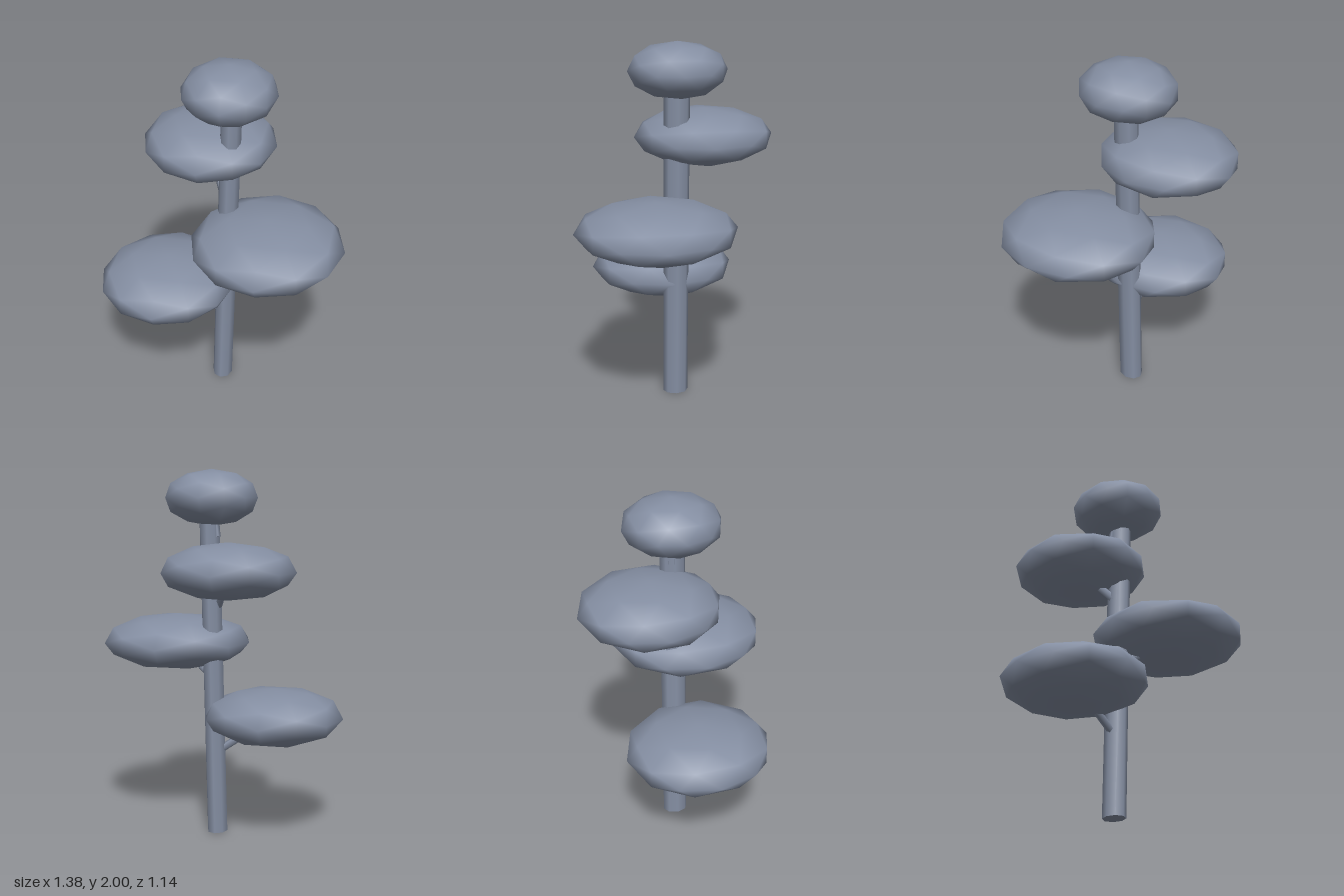
import * as THREE from 'three';

const material = new THREE.MeshStandardMaterial({ color: 0x858fa3 });

// Straight faceted rod between two points
function rod(name, from, to, radius, sides) {
  const a = new THREE.Vector3(...from);
  const b = new THREE.Vector3(...to);
  const dir = b.clone().sub(a);
  const mesh = new THREE.Mesh(new THREE.CylinderGeometry(radius, radius, dir.length(), sides), material);
  mesh.name = name;
  mesh.position.copy(a).add(b).multiplyScalar(0.5);
  mesh.quaternion.setFromUnitVectors(new THREE.Vector3(0, 1, 0), dir.normalize());
  return mesh;
}

// Flattened low-poly leaf pad with smooth normals
function pad(name, centre, radii) {
  const mesh = new THREE.Mesh(new THREE.IcosahedronGeometry(1, 1), material);
  mesh.name = name;
  mesh.position.set(...centre);
  mesh.scale.set(...radii);
  return mesh;
}

export function createModel() {
  const tree = new THREE.Group();
  tree.name = 'tree';

  // Slightly leaning trunk, narrower across x
  const trunk = rod('trunk', [0.002, 0.001, -0.016], [0.05, 1.83, -0.016], 0.07, 8);
  trunk.scale.x = 0.8;
  tree.add(trunk);

  // Foliage pads, lowest first, each carried by a thin branch
  const tiers = [
    { name: 'lower', centre: [-0.307, 0.664, 0.014], radii: [0.383, 0.153, 0.402] },
    { name: 'middle', centre: [0.274, 1.047, 0.13], radii: [0.415, 0.153, 0.436] },
    { name: 'upper', centre: [-0.101, 1.466, -0.187], radii: [0.365, 0.153, 0.383] },
    { name: 'crown', centre: [0.034, 1.848, -0.022], radii: [0.255, 0.152, 0.268] },
  ];
  for (const { name, centre, radii } of tiers) {
    tree.add(pad(name + 'Foliage', centre, radii));
    const start = [0.002, centre[1] - 0.21, name === 'crown' ? -0.035 : -0.014];
    tree.add(rod(name + 'Branch', start, centre, 0.022, 5));
  }
  return tree;
}
